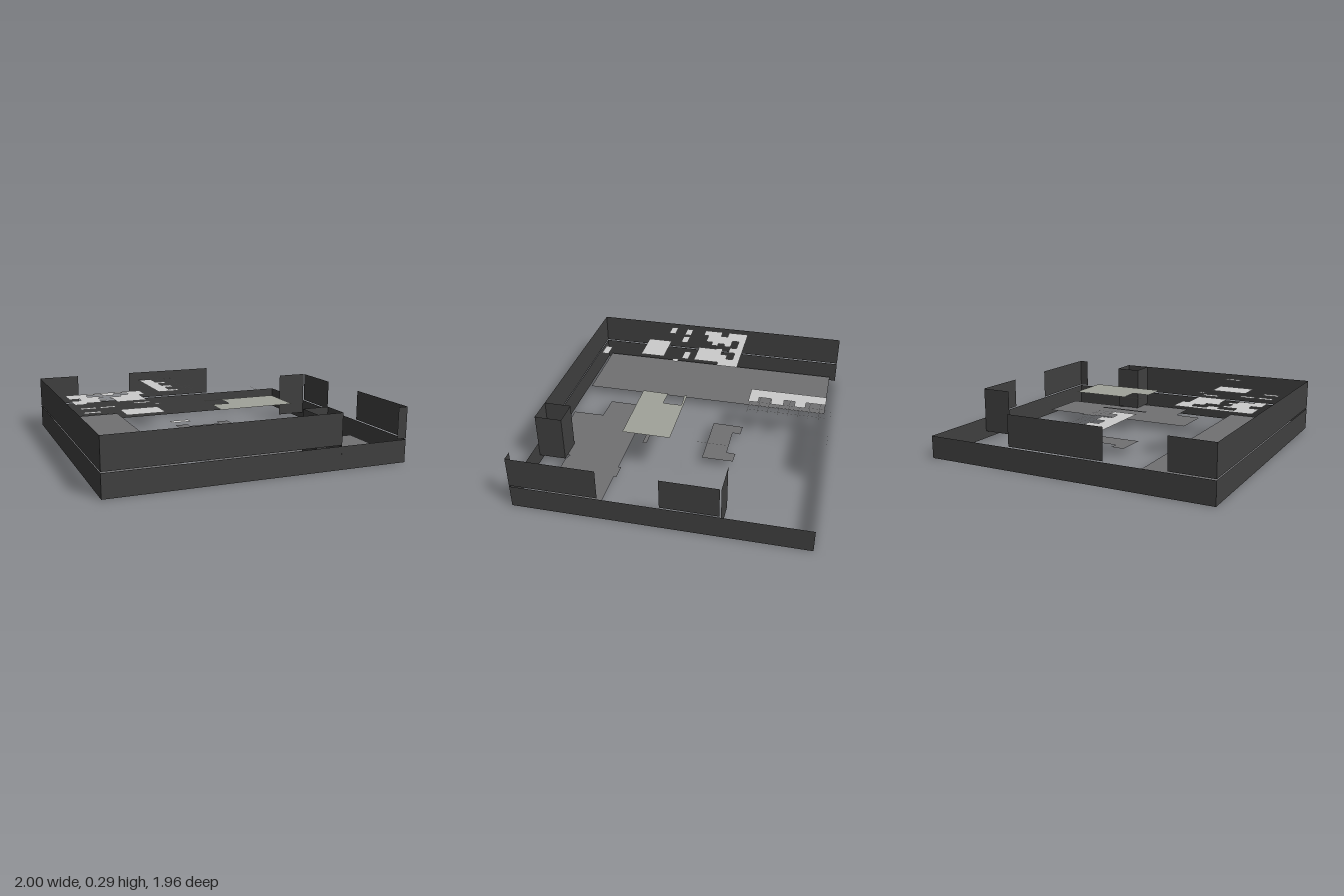
import * as THREE from 'three';

const mat = (color) => new THREE.MeshStandardMaterial({ color, side: THREE.DoubleSide });

export function createModel() {
  const model = new THREE.Group();
  const wallGrey = mat(0x404040), dark = mat(0x707072), light = mat(0xcccccc), beige = mat(0xa0a29a);
  const FLOOR = 0.042, TOP = 0.292;

  function add(name, geometry, material, parent = model) {
    const mesh = new THREE.Mesh(geometry, material);
    mesh.name = name;
    parent.add(mesh);
    return mesh;
  }
  // Horizontal sheet from [x, z] corners
  function sheet(name, points, y, material) {
    const shape = new THREE.Shape(points.map(([x, z]) => new THREE.Vector2(x, -z)));
    add(name, new THREE.ShapeGeometry(shape).rotateX(-Math.PI / 2), material).position.y = y;
  }
  // Upright thin wall between two [x, z] points
  function wall(name, a, b, y0, y1) {
    const dx = b[0] - a[0], dz = b[1] - a[1];
    const m = add(name, new THREE.PlaneGeometry(Math.hypot(dx, dz), y1 - y0), wallGrey);
    m.position.set((a[0] + b[0]) / 2, (y0 + y1) / 2, (a[1] + b[1]) / 2);
    m.rotation.y = -Math.atan2(dz, dx);
  }

  // Lower wall ring
  const A = [-0.5, -0.98], B = [1, -0.455], C = [0.5, 0.977], D = [-1, 0.452];
  [[A, B], [B, C], [C, D], [D, A]].forEach(([p, q]) => wall('lowerWall', p, q, 0, 0.121));

  // Upper wall panels, with openings left between them
  [
    [D, A], [D, [0.145, 0.853]], [[0.45, 0.96], C],
    [C, [0.65, 0.545]], [[0.753, 0.25], [0.85, -0.028]],
    [A, [-0.28, -0.903]], [[0.03, -0.794], [0.535, -0.618]],
  ].forEach(([p, q]) => wall('upperWall', p, q, 0.127, TOP));

  // Inner partitions standing on the floor: a shaft at the front, a fin at the side
  [
    [[0.145, 0.853], [0.193, 0.715]], [[0.193, 0.715], [0.06, 0.668]], [[0.06, 0.668], [0.012, 0.806]],
    [[0.85, -0.036], [0.69, -0.092]],
  ].forEach(([p, q]) => wall('partition', p, q, FLOOR, TOP));

  // Floor areas
  sheet('sideFloor', [[-0.478, -0.935], [-0.07, -0.79], [-0.547, 0.57], [-0.957, 0.43]], FLOOR, dark);
  sheet('frontFloor', [[-0.275, 0.23], [0.3, 0.432], [0.305, 0.418], [0.385, 0.446], [0.38, 0.46],
    [0.61, 0.54], [0.51, 0.82], [0.195, 0.715], [0.165, 0.69], [0.13, 0.805], [-0.265, 0.67],
    [-0.21, 0.505], [-0.353, 0.45]], FLOOR, dark);
  sheet('middleFloor', [[0.01, -0.29], [0.08, -0.262], [0.06, -0.222], [0.24, -0.16], [0.26, -0.205],
    [0.325, -0.18], [0.27, -0.02], [-0.05, -0.13]], FLOOR, dark);

  // Raised ceiling piece with a narrow shelf below it
  sheet('centreCeiling', [[-0.04, 0.025], [0.355, 0.16], [0.27, 0.4], [-0.125, 0.265], [-0.073, 0.13],
    [0.02, 0.165], [0.053, 0.068], [-0.045, 0.04]], 0.247, beige);
  sheet('shelf', [[-0.05, 0.18], [0.225, 0.275], [0.218, 0.296], [-0.057, 0.201]], 0.13, dark);

  // Tile groups are laid out in axes parallel to the walls
  function tileGroup(name, y) {
    const group = new THREE.Group();
    group.name = name;
    group.rotation.y = -Math.atan2(0.33, 0.944);
    group.position.y = y;
    model.add(group);
    return (part, u0, v0, u1, v1) => {
      const g = new THREE.PlaneGeometry(u1 - u0, v1 - v0).rotateX(-Math.PI / 2);
      add(part, g, light, group).position.set((u0 + u1) / 2, 0, (v0 + v1) / 2);
    };
  }

  // Tiles over the side floor
  const sideTile = tileGroup('sideTiles', 0.286);
  [
    [-0.755, -0.19, -0.335, -0.15], [-0.755, -0.15, -0.65, -0.11], [-0.56, -0.15, -0.5, -0.11],
    [-0.42, -0.15, -0.335, -0.11], [-0.755, -0.11, -0.57, -0.07], [-0.47, -0.11, -0.335, -0.07],
    [-0.7, -0.07, -0.6, -0.03], [-0.54, -0.07, -0.37, -0.03], [-0.755, -0.03, -0.57, 0.01],
    [-0.53, -0.03, -0.37, 0.075], [-0.755, 0.01, -0.61, 0.05], [-0.755, 0.05, -0.69, 0.08],
    [-0.75, 0.16, -0.67, 0.2], [-0.65, 0.16, -0.57, 0.2], [-0.46, 0.11, -0.37, 0.15],
    [-0.36, 0.165, -0.327, 0.2], [-0.755, 0.26, -0.67, 0.3], [-0.57, 0.26, -0.373, 0.36],
    [-0.57, 0.36, -0.47, 0.4], [-0.47, 0.36, -0.373, 0.4], [-0.42, 0.595, -0.33, 0.635],
  ].forEach((r) => sideTile('ceilingTile', ...r));

  // Tiles and open support grid at the back
  const backTile = tileGroup('backTiles', 0.247);
  [
    [-0.18, -0.728, -0.1, -0.305], [-0.1, -0.62, -0.045, -0.56], [-0.1, -0.5, -0.045, -0.43],
    [-0.1, -0.36, -0.05, -0.305],
  ].forEach((r) => backTile('ceilingTile', ...r));
  const t = 0.002;
  for (const u of [-0.05, -0.01, 0.03]) backTile('gridBar', u, -0.73, u + t, -0.31);
  for (let i = 0; i < 8; i++) backTile('gridBar', -0.1, -0.7 + i * 0.055, 0.055, -0.7 + i * 0.055 + t);
  backTile('gridBar', 0.388, -0.27, 0.39, -0.1);
  return model;
}
